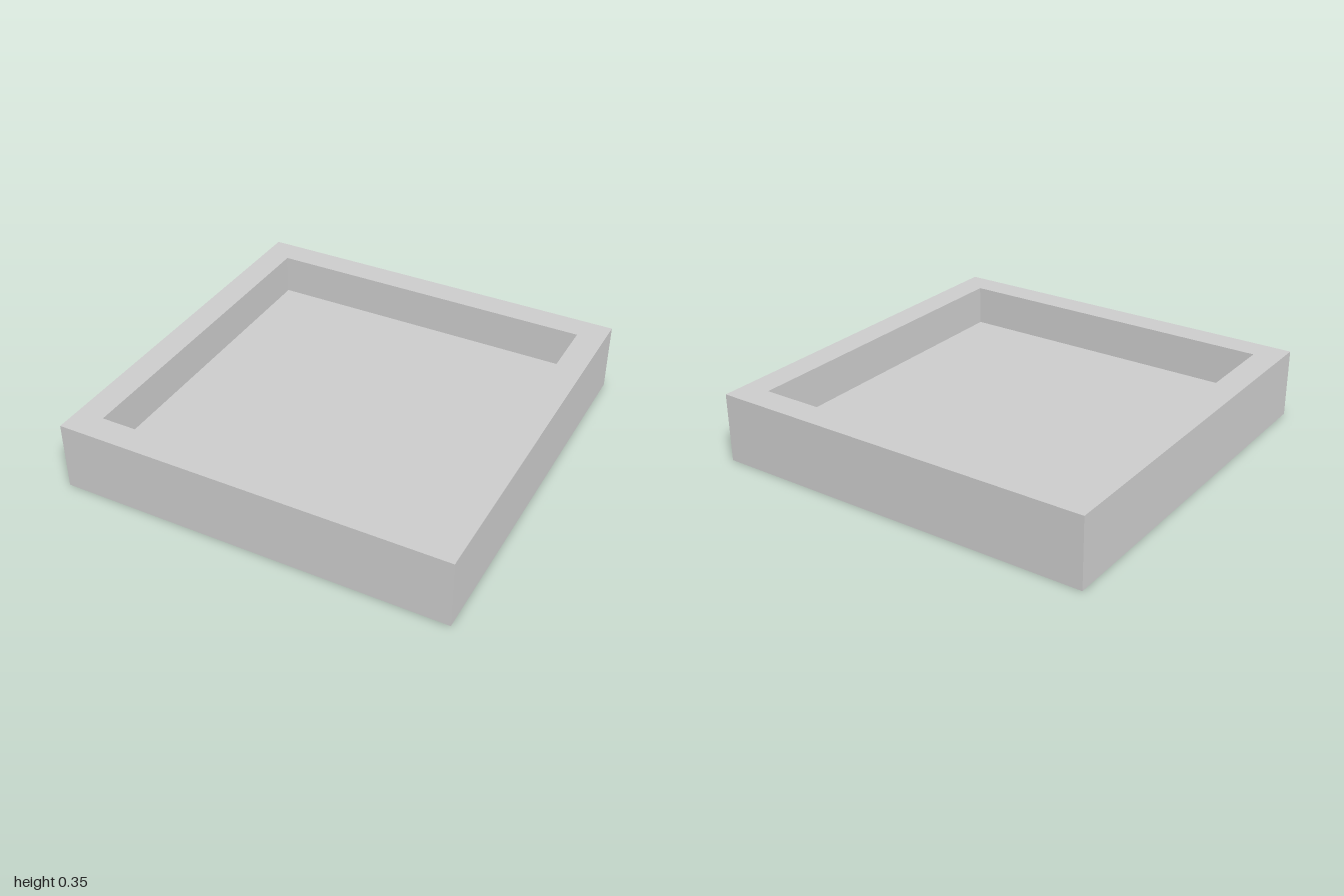
import * as THREE from 'three';

const HEIGHT = 0.353;
const INNER = 0.86; // half width of the recess
const FLOOR = 0.143; // height of the recess floor

export function createModel() {
  const group = new THREE.Group();
  group.name = 'squareTray';

  // Closed section from the underside, up the wall, over the rim and down to the recess floor
  const section = [
    [0, 0], [1, 0], [1, HEIGHT], [INNER, HEIGHT], [INNER, FLOOR], [0, FLOOR],
  ].map(([halfWidth, y]) => new THREE.Vector2(halfWidth * Math.SQRT2, y));

  // Four-sided turn, started at 45 degrees so the sides face the axes
  const geometry = new THREE.LatheGeometry(section, 4, Math.PI / 4).toNonIndexed();
  geometry.computeVertexNormals();

  const tray = new THREE.Mesh(
    geometry,
    new THREE.MeshStandardMaterial({ color: 0xcccccc, flatShading: true }),
  );
  tray.name = 'tray';
  group.add(tray);
  return group;
}
